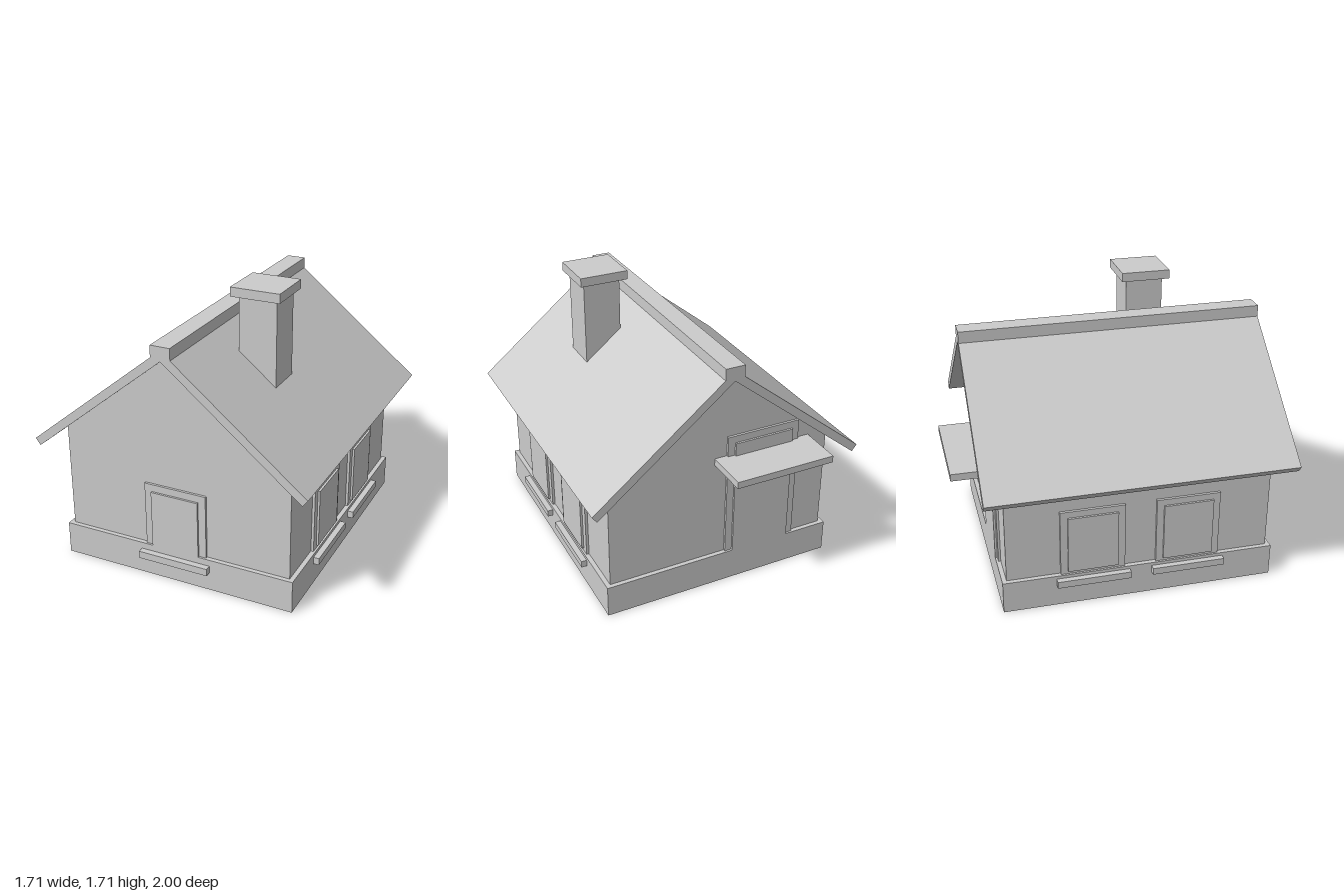
import * as THREE from 'three';

const plaster = new THREE.MeshStandardMaterial({ color: 0xcccccc });
plaster.name = 'plain grey';

const MID_Z = 0.0725; // middle of the house along z

export function createModel() {
  const house = new THREE.Group();
  house.name = 'house';

  // Box given by its limits on each axis
  function box(name, x0, x1, y0, y1, z0, z1, parent = house) {
    const mesh = new THREE.Mesh(new THREE.BoxGeometry(x1 - x0, y1 - y0, z1 - z0), plaster);
    mesh.position.set((x0 + x1) / 2, (y0 + y1) / 2, (z0 + z1) / 2);
    mesh.name = name;
    parent.add(mesh);
    return mesh;
  }

  // Front-facing profile extruded along z, centred on the house
  function prism(name, points, halfDepth) {
    const shape = new THREE.Shape(points.map(([x, y]) => new THREE.Vector2(x, y)));
    const geometry = new THREE.ExtrudeGeometry(shape, { depth: halfDepth * 2, bevelEnabled: false });
    const mesh = new THREE.Mesh(geometry, plaster);
    mesh.position.z = MID_Z - halfDepth;
    mesh.name = name;
    house.add(mesh);
  }

  // Foundation and gabled walls
  box('foundation', -0.74, 0.74, 0, 0.2, MID_Z - 0.83, MID_Z + 0.83);
  prism('walls', [[-0.712, 0.2], [0.712, 0.2], [0.712, 0.85], [0, 1.425], [-0.712, 0.85]], 0.803);

  // Roof with its raised ridge
  const rightHalf = [[0.825, 0.757], [0.855, 0.797], [0.06, 1.44], [0.06, 1.51]];
  const leftHalf = rightHalf.map(([x, y]) => [-x, y]).reverse();
  prism('roof', [[0, 1.425], ...rightHalf, ...leftHalf], 0.9275);

  // Chimney
  box('chimneyStack', 0.2, 0.43, 1.1, 1.66, 0.225, 0.455);
  box('chimneyCap', 0.16, 0.46, 1.655, 1.71, 0.19, 0.49);

  // Front door with step
  box('frontDoorFrame', -0.196, 0.196, 0.2, 0.6, 0.86, 0.89);
  box('frontDoor', -0.15, 0.15, 0.19, 0.555, 0.86, 0.9025);
  box('frontStep', -0.223, 0.223, 0.115, 0.16, 0.88, 0.94);

  // Back door with canopy
  box('backDoorFrame', -0.505, -0.035, 0.2, 1.0, -0.745, -0.71);
  box('backDoor', -0.46, -0.08, 0.19, 0.955, -0.7575, -0.71);
  box('backCanopy', -0.583, 0.043, 0.83, 0.873, -1, -0.71);

  // Two windows with sills on each side wall
  for (const side of [1, -1]) {
    for (const z of [0.365, -0.215]) {
      const unit = new THREE.Group();
      unit.name = side > 0 ? 'leftWindow' : 'rightWindow';
      unit.position.z = z;
      unit.rotation.y = side > 0 ? 0 : Math.PI;
      box('windowFrame', 0.69, 0.728, 0.19, 0.62, -0.195, 0.195, unit);
      box('windowPane', 0.69, 0.741, 0.22, 0.58, -0.152, 0.152, unit);
      box('windowSill', 0.72, 0.775, 0.137, 0.18, -0.223, 0.223, unit);
      house.add(unit);
    }
  }

  return house;
}
